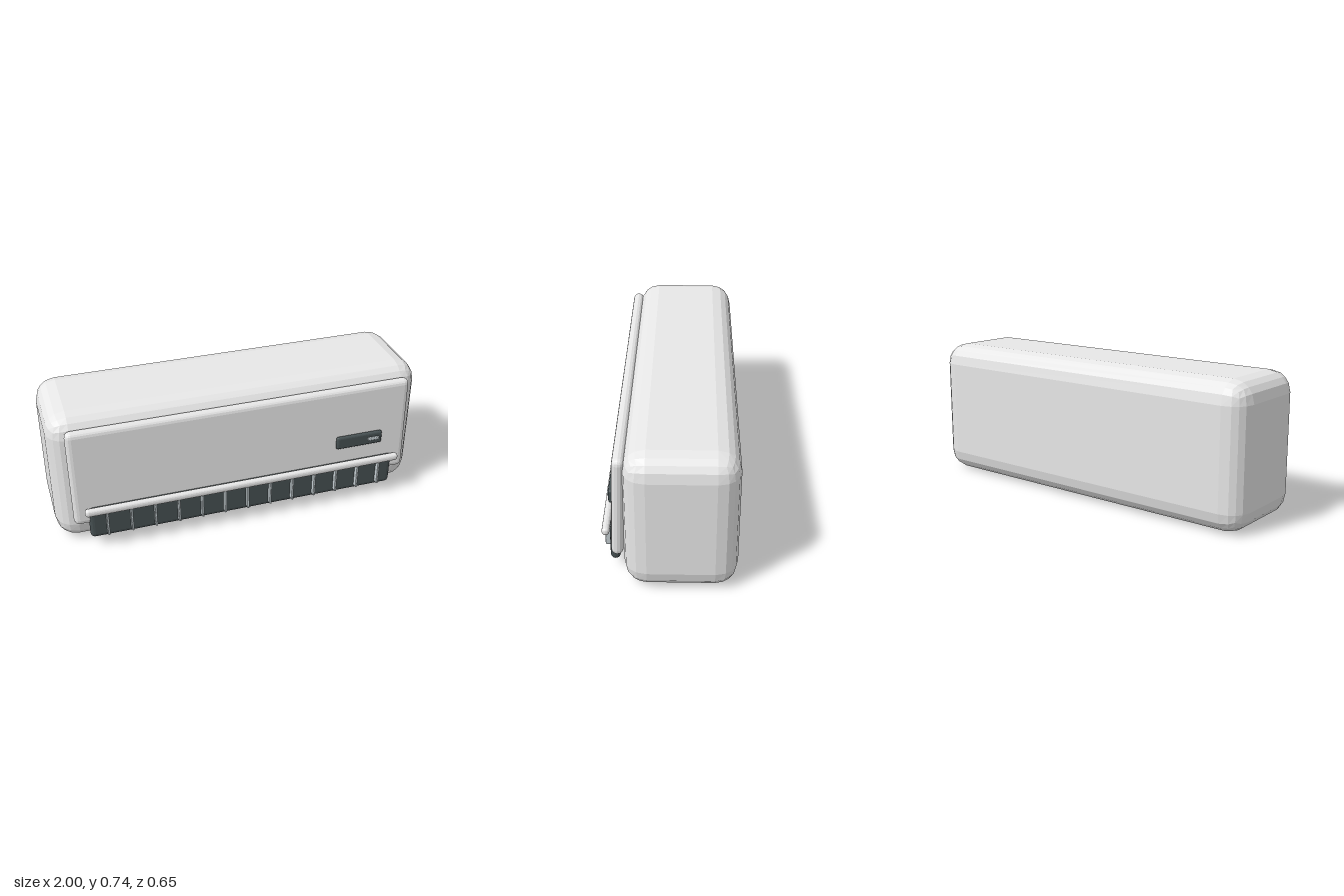
import * as THREE from 'three';
import { RoundedBoxGeometry } from 'three/addons/geometries/RoundedBoxGeometry.js';

const material = (name, color) => {
  const m = new THREE.MeshStandardMaterial({ color });
  m.name = name;
  return m;
};

// Rounded box with faceted edges, given by its extents on each axis
function block(name, mat, [x0, x1], [y0, y1], [z0, z1], radius) {
  const geometry = new RoundedBoxGeometry(x1 - x0, y1 - y0, z1 - z0, 2, radius);
  geometry.computeVertexNormals(); // unshared corners give flat facets
  const mesh = new THREE.Mesh(geometry, mat);
  mesh.name = name;
  mesh.position.set((x0 + x1) / 2, (y0 + y1) / 2, (z0 + z1) / 2);
  return mesh;
}

export function createModel() {
  const white = material('white plastic', 0xf0f0f0);
  const dark = material('dark plastic', 0x465052);
  const grey = material('pale grey plastic', 0xc4ced2);

  const model = new THREE.Group();
  model.name = 'airConditioner';

  // Main housing
  model.add(block('housing', white, [-1, 1], [0, 0.737], [-0.325, 0.217], 0.11));

  // Front cover, leaning back slightly at the top
  const cover = block('frontCover', white, [-0.918, 0.918], [0.145, 0.688], [0.211, 0.27], 0.029);
  cover.rotation.x = -0.033;
  model.add(cover);

  // Air outlet with its upper lip
  model.add(block('airOutlet', dark, [-0.843, 0.843], [0.058, 0.25], [0.24, 0.289], 0.024));
  model.add(block('outletLip', white, [-0.865, 0.865], [0.22, 0.262], [0.288, 0.325], 0.017));

  // Vertical vanes across the outlet
  const vanes = new THREE.Group();
  vanes.name = 'vanes';
  for (let i = -6; i <= 6; i++) {
    const x = i * 0.1255;
    vanes.add(block('vane', grey, [x - 0.006, x + 0.006], [0.085, 0.235], [0.288, 0.319], 0.004));
  }
  model.add(vanes);

  // Display window with indicator light
  model.add(block('display', dark, [0.503, 0.766], [0.342, 0.416], [0.272, 0.297], 0.012));
  model.add(block('indicatorLight', grey, [0.68, 0.746], [0.37, 0.39], [0.291, 0.304], 0.006));

  return model;
}
